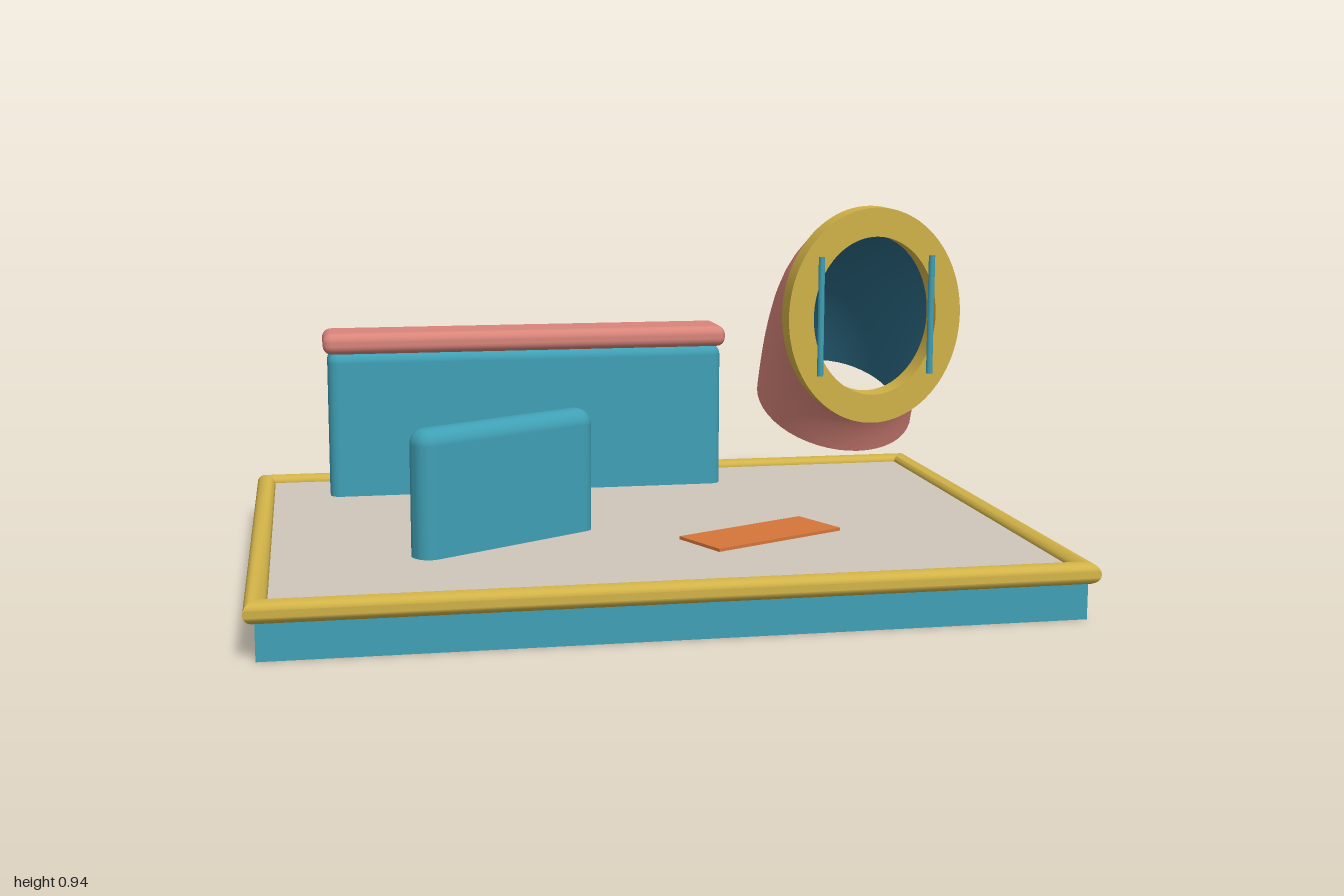
import * as THREE from 'three';
import { toCreasedNormals } from 'three/addons/utils/BufferGeometryUtils.js';
import { RoundedBoxGeometry } from 'three/addons/geometries/RoundedBoxGeometry.js';

const material = (name, color, side = THREE.FrontSide) => {
  const m = new THREE.MeshStandardMaterial({ color, side });
  m.name = name;
  return m;
};

// Grid surface through the points f(u, v), with u and v running from 0 to 1
function loft(rows, cols, f) {
  const pos = [], index = [];
  for (let i = 0; i <= rows; i++) {
    for (let j = 0; j <= cols; j++) {
      pos.push(...f(i / rows, j / cols));
      if (i < rows && j < cols) {
        const a = i * (cols + 1) + j, b = a + cols + 1;
        index.push(a, b, a + 1, b, b + 1, a + 1);
      }
    }
  }
  const g = new THREE.BufferGeometry();
  g.setAttribute('position', new THREE.Float32BufferAttribute(pos, 3));
  g.setIndex(index);
  g.computeVertexNormals();
  return toCreasedNormals(g, 0.7);
}

export function createModel() {
  const model = new THREE.Group();
  const teal = material('teal', 0x3fa0b5);
  const deepBlue = material('deep blue', 0x2b6a85, THREE.DoubleSide);
  const gold = material('gold', 0xd2b348);
  const pink = material('coral pink', 0xd9857a);
  const sand = material('sand', 0xcfc6bb);
  const orange = material('orange', 0xd5763a);

  const add = (name, geometry, mat, x = 0, y = 0, z = 0, turn = 0) => {
    const mesh = new THREE.Mesh(geometry, mat);
    mesh.name = name;
    mesh.position.set(x, y, z);
    mesh.rotation.y = turn;
    model.add(mesh);
    return mesh;
  };

  // Tray: base slab, floor and mitred round rim
  add('base', new THREE.BoxGeometry(1.95, 0.11, 1.41), teal, 0, 0.055, 0.075);
  add('floor', new THREE.BoxGeometry(1.94, 0.01, 1.4), sand, 0, 0.115, 0.075);
  const corners = [[1, 1], [1, -1], [-1, -1], [-1, 1]];
  add('rim', loft(4, 20, (u, v) => {
    const [sx, sz] = corners[Math.round(u * 4) % 4];
    const a = v * Math.PI * 2, out = 0.027 * Math.cos(a);
    return [sx * (0.973 + out), 0.027 * Math.sin(a), sz * (0.698 + out)];
  }), gold, 0, 0.113, 0.075);

  // Long wall with its cap, and the small angled panel
  add('wall', new RoundedBoxGeometry(1.13, 0.46, 0.15, 4, 0.03), teal, -0.225, 0.3, -0.445);
  add('wallCap', new RoundedBoxGeometry(1.155, 0.06, 0.175, 4, 0.025), pink, -0.225, 0.555, -0.447);
  add('panel', new RoundedBoxGeometry(0.54, 0.36, 0.09, 5, 0.04), teal, -0.365, 0.26, 0.247, 0.53);

  // Flat marker on the floor
  add('floorMarker', new THREE.BoxGeometry(0.4, 0.008, 0.165), orange, 0.295, 0.124, 0.288, 0.44);

  // Bent oval pipe: shell, end lip and lining follow one curve
  const px = 0.73;
  const path = new THREE.QuadraticBezierCurve3(
    new THREE.Vector3(px, 0.63, -0.2),
    new THREE.Vector3(px, 0.634, -0.413),
    new THREE.Vector3(px, 0.33, -0.54));
  const oval = (t, v, rx, ry) => {
    const p = path.getPoint(t), d = path.getTangent(t), a = v * Math.PI * 2;
    const h = ry * Math.sin(a);
    return [p.x + rx * Math.cos(a), p.y - d.z * h, p.z + d.y * h];
  };
  add('pipeShell', loft(28, 48, (u, v) => oval(u, v, 0.23, 0.284)), pink);
  add('pipeLip', loft(1, 48, (u, v) => oval(1, v, 0.23 - 0.035 * u, 0.284 - 0.044 * u)), pink);
  add('pipeLining', loft(28, 48, (u, v) => oval(u, v, 0.195, 0.24)), deepBlue);

  // Oval collar around the front opening
  const shape = new THREE.Shape().absellipse(0, 0, 0.25, 0.305, 0, Math.PI * 2);
  shape.holes.push(new THREE.Path().absellipse(0, 0, 0.178, 0.224, 0, Math.PI * 2));
  const collar = toCreasedNormals(new THREE.ExtrudeGeometry(shape,
    { depth: 0.075, bevelEnabled: false, curveSegments: 48 }), 0.6);
  add('collar', collar, gold, px, 0.632, -0.219).rotation.x = 0.02;

  // Slim upright bars at both sides of the opening
  for (const s of [-1, 1]) {
    add('openingBar', new THREE.CylinderGeometry(0.009, 0.009, 0.335, 12), teal, px + s * 0.16, 0.633, -0.135);
  }
  return model;
}
